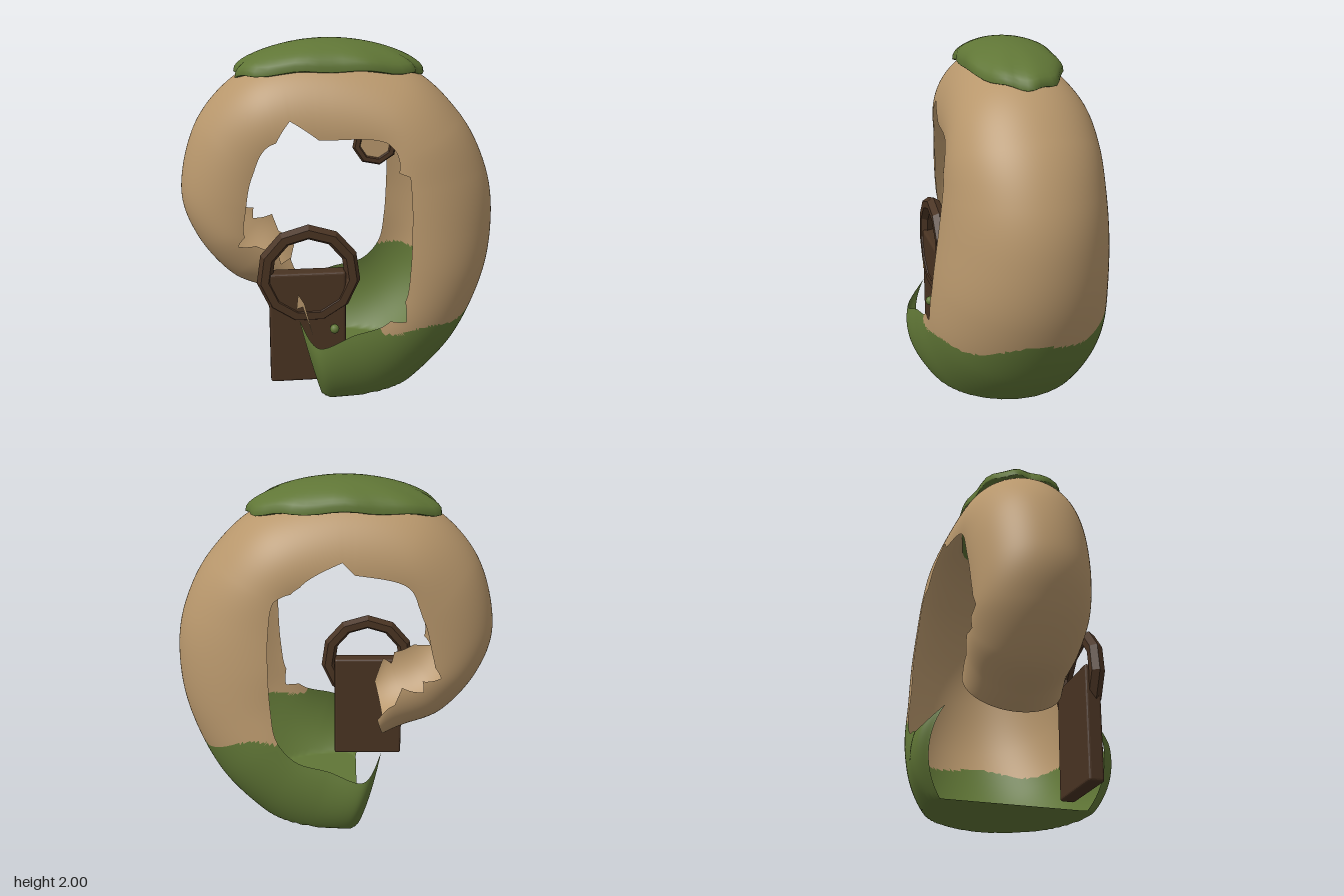
import * as THREE from 'three';
import { RoundedBoxGeometry } from 'three/addons/geometries/RoundedBoxGeometry.js';

const mat = (name, color, side = THREE.FrontSide) =>
  Object.assign(new THREE.MeshStandardMaterial({ color, side }), { name });

// Stations along the curl: outer x, y, inner rim x, y, half width, z offset, sweep angle
const stations = [
  [-0.09, -0.2, -0.27, 0.48, 0.5, 0, 2.1],
  [-0.02, -0.2, -0.17, 0.36, 0.57, 0, 1.8],
  [0.22, -0.2, 0.03, 0.42, 0.55, 0, 1.8],
  [0.44, -0.06, 0.21, 0.47, 0.53, 0, 1.75],
  [0.7, 0.22, 0.32, 0.6, 0.515, 0, 1.7],
  [0.87, 0.6, 0.35, 0.78, 0.495, 0, 1.65],
  [0.915, 0.95, 0.36, 1, 0.475, -0.01, 1.6],
  [0.865, 1.26, 0.355, 1.22, 0.45, -0.015, 1.6],
  [0.7, 1.57, 0.32, 1.4, 0.43, -0.02, 1.6],
  [0.4, 1.83, 0.19, 1.495, 0.41, -0.03, 1.6],
  [-0.08, 1.93, -0.08, 1.5, 0.385, -0.035, 1.6],
  [-0.5, 1.85, -0.4, 1.475, 0.36, -0.04, 1.6],
  [-0.8, 1.57, -0.51, 1.29, 0.34, -0.05, 1.6],
  [-0.92, 1.17, -0.55, 1.1, 0.33, -0.05, 1.6],
  [-0.85, 0.88, -0.56, 0.93, 0.32, -0.05, 1.6],
  [-0.65, 0.62, -0.45, 0.85, 0.31, -0.05, 1.6],
  [-0.42, 0.515, -0.33, 0.8, 0.3, -0.05, 1.6],
  [-0.3, 0.47, -0.25, 0.65, 0.29, -0.05, 1.6],
];
// Ragged rim: [station, change of sweep angle]
const frontJags = [[0, 0], [3.2, 0], [3.6, -0.15], [4, 0], [7.4, 0], [7.6, 0.13], [8.2, 0.06], [8.8, 0],
  [10.2, 0], [10.6, -0.27], [10.9, 0], [14, 0], [14.3, -0.25], [14.6, 0], [15.6, 0], [15.9, -0.2], [16.2, 0.05], [17, -0.1]];
const backJags = [[0, 0], [3.5, 0], [8, 0], [8.6, 0.1], [9, 0.05], [9.9, -0.26], [10.1, -0.1],
  [11.5, 0.08], [13.6, 0], [14, -0.15], [14.4, 0.1], [14.8, -0.15], [15.4, 0.1], [16, -0.2], [17, 0]];

function linear(list, s) {
  const i = Math.max(1, list.findIndex((p) => p[0] >= s));
  const [a, b] = [list[i - 1], list[i]];
  return a[1] + (b[1] - a[1]) * (s - a[0]) / (b[0] - a[0]);
}

// Smooth value of one station column
function column(s, c) {
  const last = stations.length - 1;
  const i = Math.min(Math.floor(s), last - 1), t = s - i;
  const v = (k) => stations[Math.min(Math.max(k, 0), last)][c];
  const [p0, p1, p2, p3] = [v(i - 1), v(i), v(i + 1), v(i + 2)];
  const m1 = (p2 - p0) / 2, m2 = (p3 - p1) / 2;
  return p1 + m1 * t + (3 * (p2 - p1) - 2 * m1 - m2) * t * t + (2 * (p1 - p2) + m1 + m2) * t * t * t;
}

// Hollow curled shell: wide flat foot, narrow tail, open towards the middle
function shellGeometry() {
  const perStation = 20, cols = (stations.length - 1) * perStation, rows = 64;
  const pos = [], tan = [], moss = [];
  for (let i = 0; i <= cols; i++) {
    const s = i / perStation;
    const [ox, oy, ix, iy, w, zc, sweep] = [0, 1, 2, 3, 4, 5, 6].map((c) => column(s, c));
    const c0 = Math.cos(sweep);
    const ground = oy < 0 ? iy / (iy - oy) : 1;
    for (let j = 0; j <= rows; j++) {
      const u = j / rows * 2 - 1;
      const a = u * (sweep + linear(u > 0 ? frontJags : backJags, s));
      const t = Math.min(ground, (Math.cos(a) - c0) / (1 - c0));
      pos.push(ix + (ox - ix) * t, iy + (oy - iy) * t, zc + w * Math.sin(a));
    }
  }
  for (let i = 0; i < cols; i++) {
    for (let j = 0; j < rows; j++) {
      const a = i * (rows + 1) + j, b = a + rows + 1;
      for (const tri of [[a, b, a + 1], [b, b + 1, a + 1]]) {
        const mid = (k) => tri.reduce((sum, v) => sum + pos[v * 3 + k], 0) / 3;
        const [x, y, z] = [mid(0), mid(1), mid(2)];
        const edge = 0.455 + 0.022 * Math.sin(z * 11 + 1) - (z < 0 ? 0.8 : 0.3) * z ** 3 + 0.012 * Math.sin(x * 17);
        (i < 7 * perStation && (y < edge || x < 0.18) ? moss : tan).push(...tri);
      }
    }
  }
  const g = new THREE.BufferGeometry();
  g.setAttribute('position', new THREE.Float32BufferAttribute(pos, 3));
  g.setIndex([...tan, ...moss]);
  g.addGroup(0, tan.length, 0);
  g.addGroup(tan.length, moss.length, 1);
  g.computeVertexNormals();
  return g;
}

// Draped moss patch with a ragged edge
function mossCapGeometry() {
  const g = new THREE.SphereGeometry(1, 48, 24);
  const p = g.attributes.position;
  for (let i = 0; i < p.count; i++) {
    const x = p.getX(i), y = p.getY(i), z = p.getZ(i);
    const a = Math.atan2(z, x), r = Math.hypot(x, z);
    const n = 1 + r ** 5 * (0.025 * Math.sin(5 * a + 2) + 0.02 * Math.sin(11 * a + 1) + 0.08 * Math.sin(2 * a) ** 2);
    const lift = y > 0 ? 0.125 * Math.pow(y, 0.75) : 0.03 * y;
    const sag = 0.075 * x * x + 0.02 * z * z + 0.008 * r ** 5 * Math.sin(9 * a);
    p.setXYZ(i, -0.06 + 0.535 * x * n, 1.875 - sag + lift, -0.04 + 0.265 * z * n);
  }
  g.computeVertexNormals();
  return g;
}

export function createModel() {
  const model = new THREE.Group();
  const stone = mat('sandstone', 0xb8976c, THREE.DoubleSide);
  const moss = mat('moss green', 0x607636, THREE.DoubleSide);
  const wood = mat('dark wood', 0x493322);
  wood.flatShading = true;

  const add = (name, geometry, material, x = 0, y = 0, z = 0) => {
    const m = new THREE.Mesh(geometry, material);
    m.name = name;
    m.position.set(x, y, z);
    model.add(m);
    return m;
  };

  add('curledShell', shellGeometry(), [stone, moss]);
  add('mossCap', mossCapGeometry(), moss);

  // Thin splinter standing on the open end of the foot
  const shard = new THREE.Shape([[-0.19, 0.37], [-0.24, 0.58], [-0.275, 0.64], [-0.285, 0.55], [-0.25, 0.56]]
    .map(([x, y]) => new THREE.Vector2(x, y)));
  add('shellShard', new THREE.ShapeGeometry(shard), stone, 0, 0, 0.43);

  // Door with its round frame and knob
  add('door', new RoundedBoxGeometry(0.435, 0.67, 0.09, 2, 0.015), wood, -0.218, 0.415, 0.355);
  add('doorFrame', new THREE.TorusGeometry(0.252, 0.044, 6, 11), wood, -0.21, 0.735, 0.37).rotation.z = Math.PI / 2;
  add('doorKnob', new THREE.SphereGeometry(0.027, 12, 8), moss, -0.07, 0.42, 0.435);

  // Small round window tucked behind the front wall
  add('windowFrame', new THREE.TorusGeometry(0.105, 0.025, 6, 8), wood, 0.175, 1.46, 0.26).rotation.z = 0.2;
  add('windowPane', new THREE.CylinderGeometry(0.1, 0.1, 0.02, 16), stone, 0.175, 1.46, 0.26).rotation.x = Math.PI / 2;
  return model;
}
